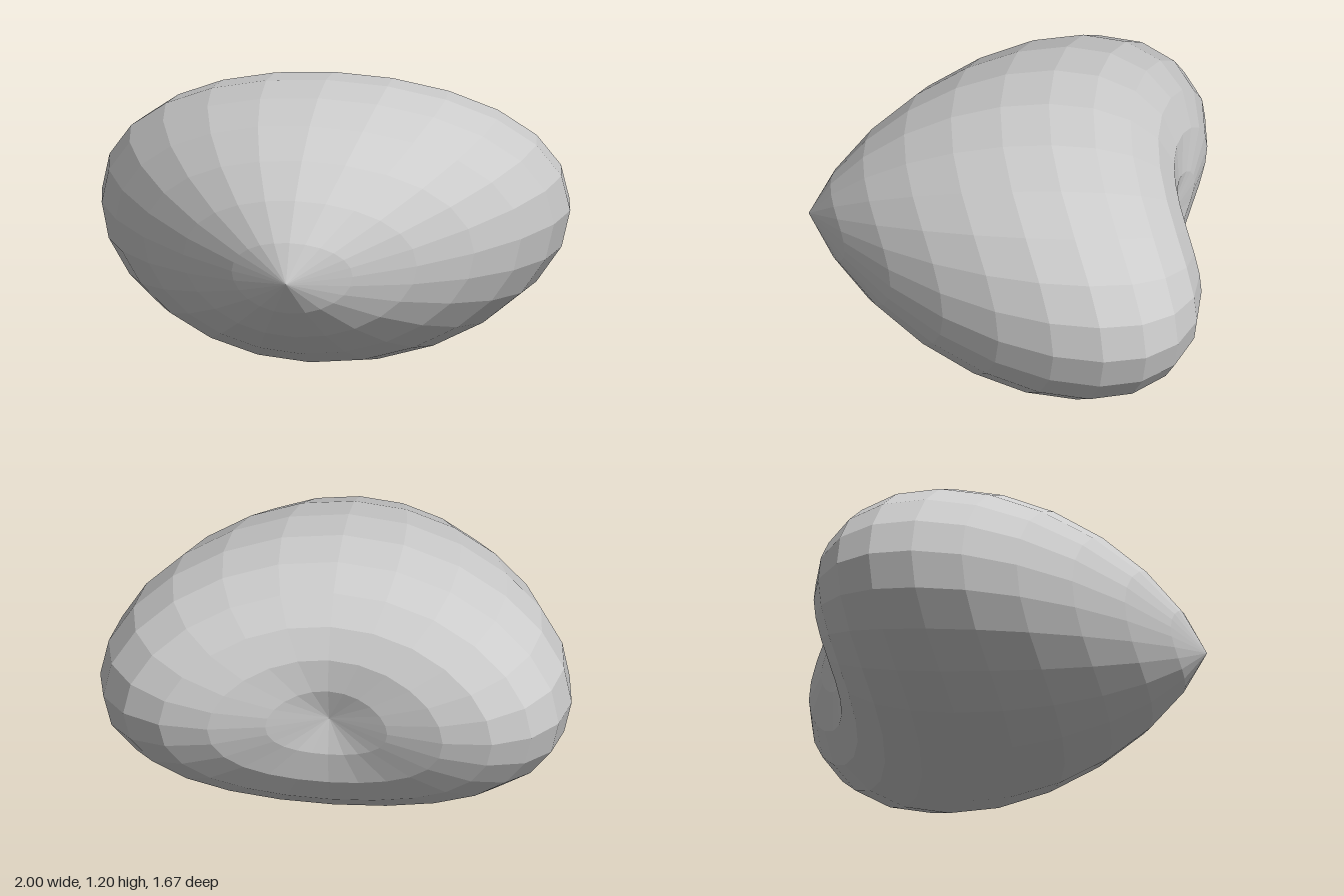
import * as THREE from 'three';

// Puffy low-poly heart: a sphere with its poles on z, sheared back by its radius.
export function createModel() {
  const group = new THREE.Group();
  const geometry = new THREE.SphereGeometry(1, 24, 12).rotateX(Math.PI / 2);
  const pos = geometry.attributes.position;

  for (let i = 0; i < pos.count; i++) {
    const x = pos.getX(i), y = pos.getY(i), z = pos.getZ(i);
    const r = Math.hypot(x, y);
    // The sides are swept back twice as far as the top and bottom,
    // which points the front tip and dimples the back.
    const cosSq = r > 1e-6 ? (x / r) ** 2 : 0;
    const sweep = 0.255 * r * (1 + cosSq);
    pos.setXYZ(i, x, 0.6 + 0.6 * y, 0.757 * z + 0.073 - sweep);
  }
  geometry.computeVertexNormals();

  const heart = new THREE.Mesh(
    geometry,
    new THREE.MeshStandardMaterial({ color: 0xcccccc, flatShading: true })
  );
  heart.name = 'heart';
  group.add(heart);
  return group;
}
